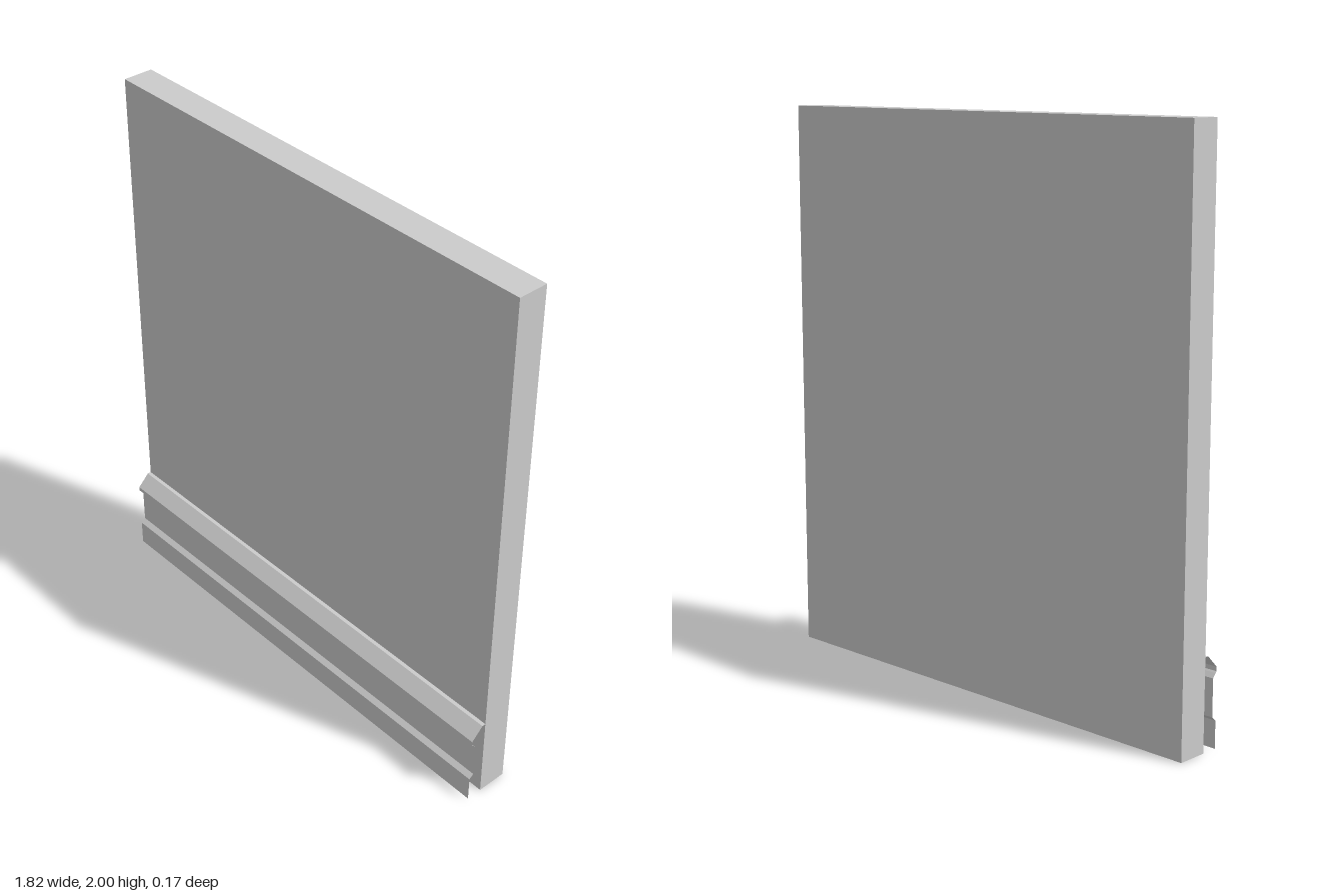
import * as THREE from 'three';

const WIDTH = 1.816;

// Sweeps an open [z, y] profile along x as a faceted sheet
function sweepSheet(profile, width) {
  const positions = [];
  const h = width / 2;
  for (let i = 0; i < profile.length - 1; i++) {
    const [z0, y0] = profile[i];
    const [z1, y1] = profile[i + 1];
    positions.push(-h, y0, z0, h, y0, z0, h, y1, z1);
    positions.push(-h, y0, z0, h, y1, z1, -h, y1, z1);
  }
  const geometry = new THREE.BufferGeometry();
  geometry.setAttribute('position', new THREE.Float32BufferAttribute(positions, 3));
  geometry.computeVertexNormals();
  return geometry;
}

export function createModel() {
  const model = new THREE.Group();
  model.name = 'wallWithBaseboard';

  // Wall panel
  const wall = new THREE.Mesh(
    new THREE.BoxGeometry(WIDTH, 2, 0.111),
    new THREE.MeshStandardMaterial({ color: 0xcccccc, flatShading: true })
  );
  wall.name = 'wallPanel';
  wall.position.set(0, 1, -0.0295);
  model.add(wall);

  // Baseboard moulding: thin sheet, open at the ends and bottom
  const profile = [
    [0.085, 0], [0.085, 0.095], [0.068, 0.11], [0.068, 0.24],
    [0.08, 0.255], [0.085, 0.26], [0.085, 0.275], [0.04, 0.32], [0.026, 0.32],
  ];
  const baseboard = new THREE.Mesh(
    sweepSheet(profile, WIDTH),
    new THREE.MeshStandardMaterial({ color: 0xcccccc, flatShading: true, side: THREE.DoubleSide })
  );
  baseboard.name = 'baseboard';
  model.add(baseboard);

  return model;
}
